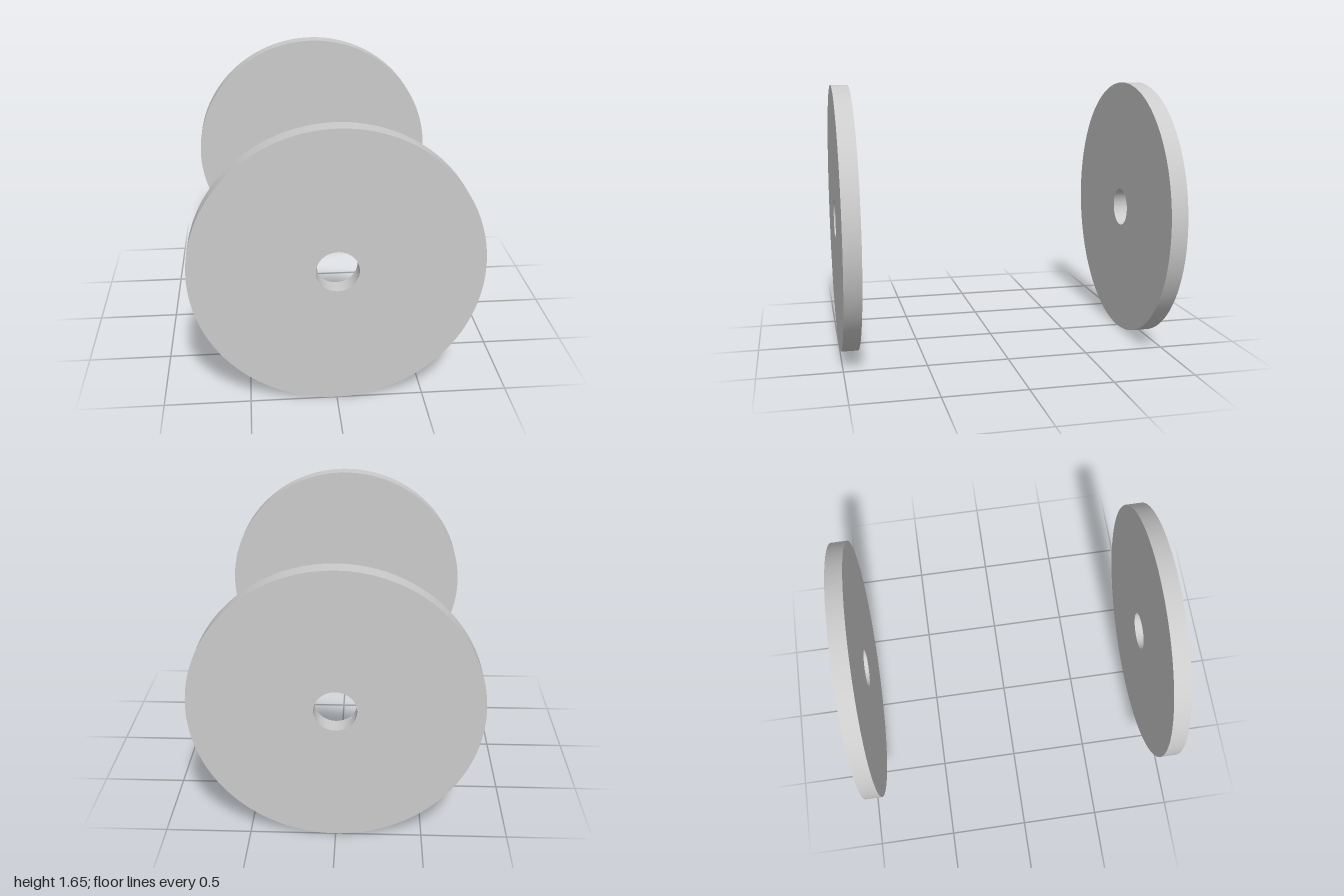
import * as THREE from 'three';
import { toCreasedNormals } from 'three/addons/utils/BufferGeometryUtils.js';

const RADIUS = 0.827, HOLE = 0.121, THICKNESS = 0.104;

export function createModel() {
  const model = new THREE.Group();
  model.name = 'discPair';
  const material = new THREE.MeshStandardMaterial({ color: 0xcccccc });

  // Round plate with a central bore
  const shape = new THREE.Shape().absarc(0, 0, RADIUS, 0, Math.PI * 2, false);
  shape.holes.push(new THREE.Path().absarc(0, 0, HOLE, 0, Math.PI * 2, true));
  const plate = new THREE.ExtrudeGeometry(shape, {
    depth: THICKNESS, bevelEnabled: false, curveSegments: 96,
  });
  plate.translate(0, 0, -THICKNESS / 2);
  const geometry = toCreasedNormals(plate, Math.PI / 6);

  // One disc at each end, outer faces at z = +1 and z = -1
  for (const [name, side] of [['frontDisc', 1], ['backDisc', -1]]) {
    const disc = new THREE.Mesh(geometry, material);
    disc.name = name;
    disc.position.set(0, RADIUS, side * (1 - THICKNESS / 2));
    model.add(disc);
  }
  return model;
}
